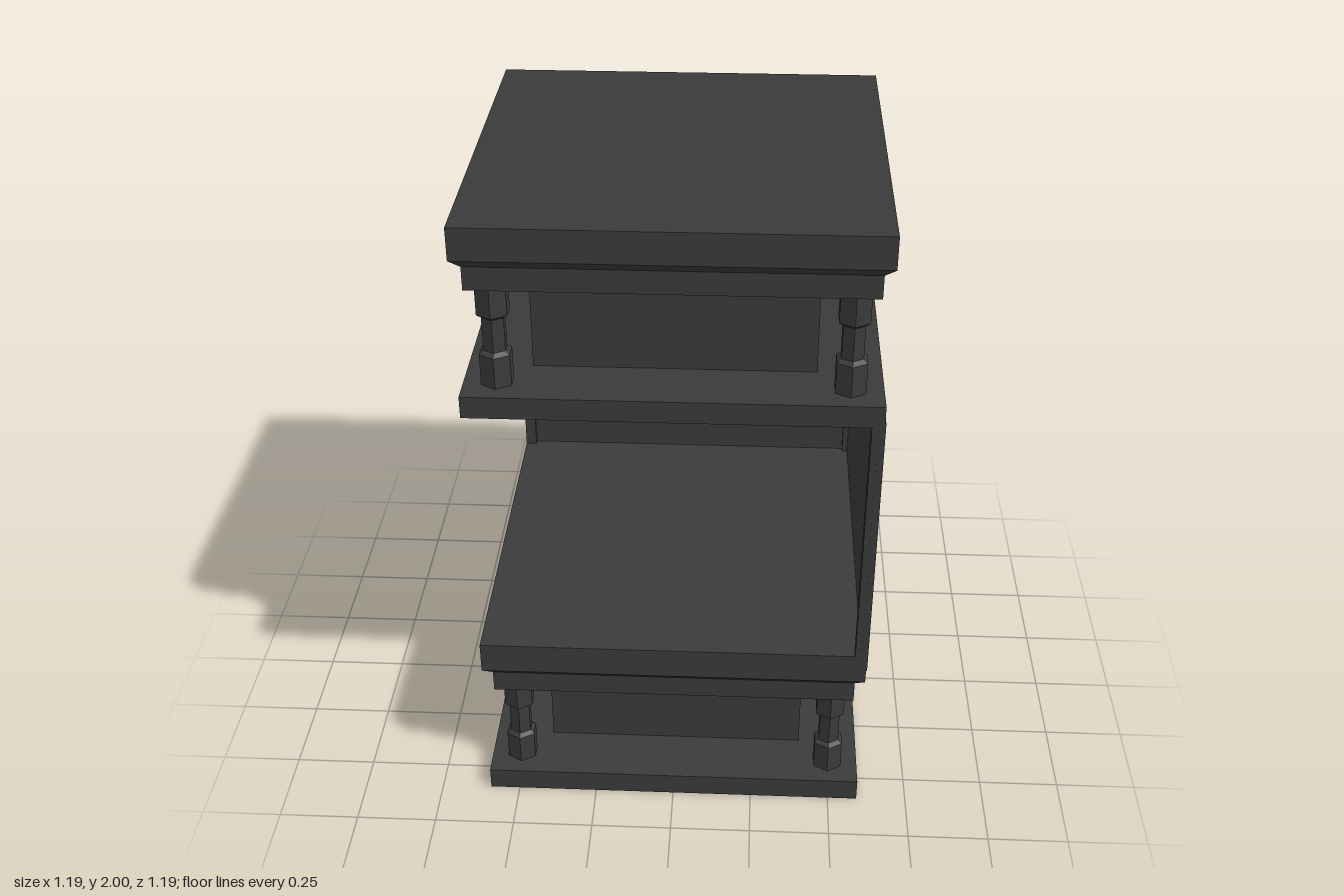
import * as THREE from 'three';

export function createModel() {
  const model = new THREE.Group();
  model.name = 'displayCabinet';
  const charcoal = new THREE.MeshStandardMaterial({ color: 0x3b3b3b, flatShading: true });
  charcoal.name = 'charcoal';

  const add = (parent, name, geometry, x = 0, y = 0, z = 0) => {
    const mesh = new THREE.Mesh(geometry, charcoal);
    mesh.name = name;
    mesh.position.set(x, y, z);
    parent.add(mesh);
  };

  // Box given by its minimum and maximum corners
  const block = (parent, name, [x0, y0, z0], [x1, y1, z1]) =>
    add(parent, name, new THREE.BoxGeometry(x1 - x0, y1 - y0, z1 - z0),
      (x0 + x1) / 2, (y0 + y1) / 2, (z0 + z1) / 2);

  // Square slab centred on the vertical axis
  const slab = (parent, name, half, y0, y1) =>
    block(parent, name, [-half, y0, -half], [half, y1, half]);

  const W = 0.593; // half width of the wide plates
  const N = 0.564; // half width of the stepped plates

  // Hexagonal pillar: [radius, height] pairs, from foot to head
  const pillarProfile = [
    [0.05, 0], [0.05, 0.097], [0.036, 0.108],
    [0.036, 0.211], [0.05, 0.222], [0.05, 0.32],
  ];
  const pillar = new THREE.LatheGeometry(
    pillarProfile.map(([r, y]) => new THREE.Vector2(r, y)), 6);

  // Bevel that widens from the stepped plate to the wide plate
  const bevel = new THREE.CylinderGeometry(W * Math.SQRT2, N * Math.SQRT2, 0.03, 4);
  bevel.rotateY(Math.PI / 4);

  // One tier: plate, core and four pillars, carrying a bevelled top
  const tier = (name, y0, y1, y2, y3, y4) => {
    const group = new THREE.Group();
    group.name = name;
    model.add(group);
    slab(group, 'lowerPlate', W, y0, y1);
    slab(group, 'core', 0.407, y1, y2);
    slab(group, 'steppedPlate', N, y2, y3 - 0.03);
    add(group, 'bevel', bevel, 0, y3 - 0.015, 0);
    slab(group, 'upperPlate', W, y3, y4);
    for (const x of [-0.497, 0.497])
      for (const z of [-0.497, 0.497]) add(group, 'pillar', pillar, x, y1, z);
  };
  tier('lowerTier', 0, 0.073, 0.392, 0.493, 0.593);
  tier('upperTier', 1.415, 1.483, 1.802, 1.903, 2);

  // Walls on the back and the left side; the other two sides are open
  const walls = new THREE.Group();
  walls.name = 'walls';
  model.add(walls);
  const O = 0.596, I = 0.575, P = 0.557, C = 0.582;
  block(walls, 'sideWall', [I, 0.54, -C], [O, 1.43, O - 0.002]);
  block(walls, 'backWall', [-O + 0.002, 0.54, -O], [C, 1.43, -I]);

  // Posts that stiffen the wall ends and the corner
  block(walls, 'sidePost', [P, 0.59, P], [W, 1.42, W]);
  block(walls, 'backPost', [-W, 0.59, -W], [-P, 1.42, -P]);
  block(walls, 'cornerPost', [P, 0.59, -C], [C, 1.42, -P]);

  return model;
}
